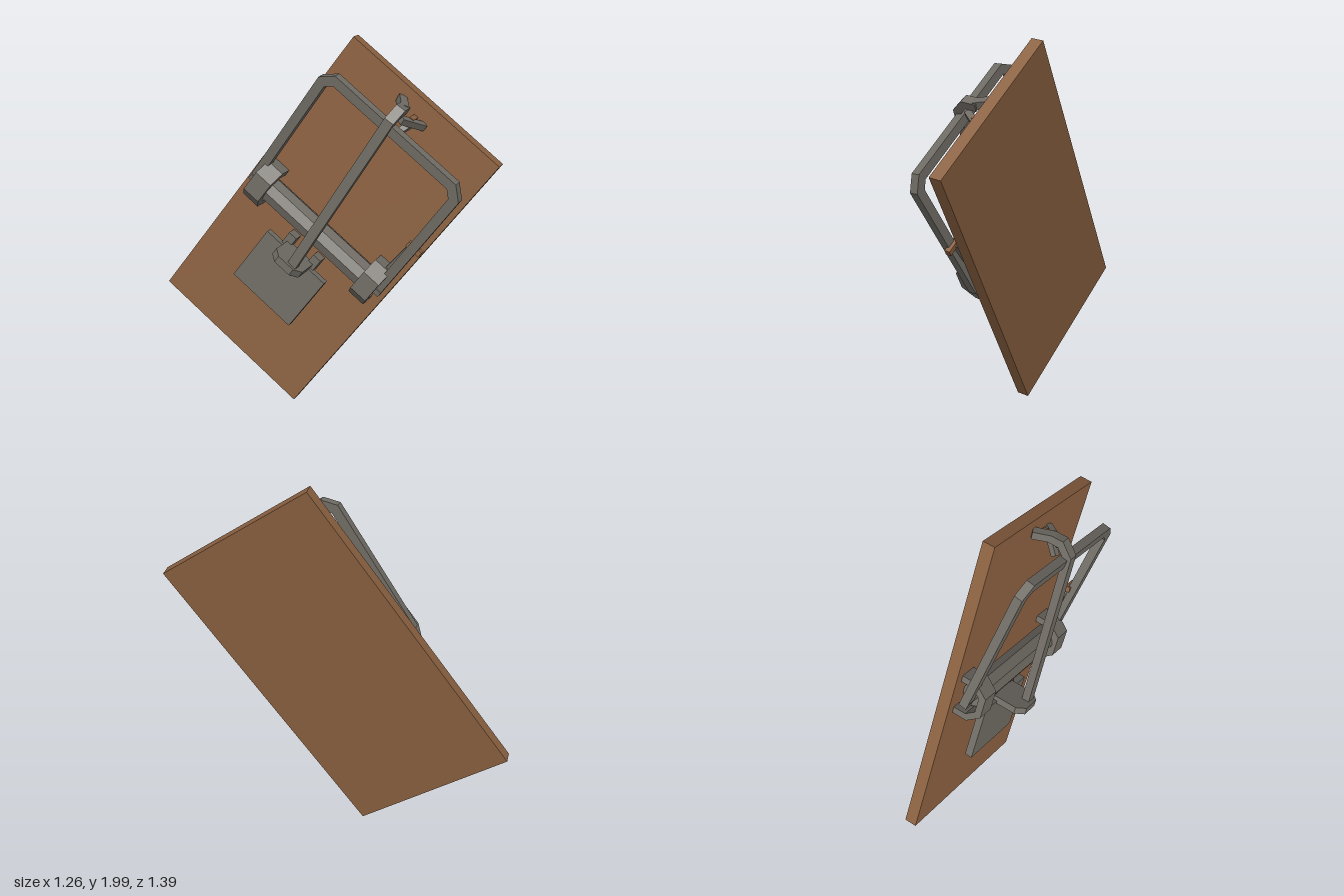
import * as THREE from 'three';

const wood = new THREE.MeshStandardMaterial({ color: 0x8a6040, flatShading: true });
wood.name = 'brown wood';
const metal = new THREE.MeshStandardMaterial({ color: 0x6e6a63, flatShading: true });
metal.name = 'grey metal';

// Outline of a mitred strip of the given thickness following an open 2D path
function stripShape(path, thickness) {
  const p = path.map(([x, y]) => new THREE.Vector2(x, y));
  const left = [], right = [];
  p.forEach((pt, i) => {
    const d0 = i > 0 ? pt.clone().sub(p[i - 1]).normalize() : null;
    const d1 = i < p.length - 1 ? p[i + 1].clone().sub(pt).normalize() : null;
    const t = (d0 && d1) ? d0.clone().add(d1).normalize() : (d0 || d1).clone();
    const n = new THREE.Vector2(-t.y, t.x);
    const cos = t.dot(d0 || d1);
    n.multiplyScalar(thickness / 2 / cos);
    left.push(pt.clone().add(n));
    right.push(pt.clone().sub(n));
  });
  return new THREE.Shape([...right, ...left.reverse()]);
}

// Flat extrusion centred on its own plane
function slab(shape, depth) {
  const g = new THREE.ExtrudeGeometry(shape, { depth, bevelEnabled: false });
  return g.translate(0, 0, -depth / 2);
}

// Maps a profile drawn as (length, height) into the board frame
const sideOn = new THREE.Matrix4().makeBasis(
  new THREE.Vector3(0, 1, 0), new THREE.Vector3(0, 0, 1), new THREE.Vector3(1, 0, 0));

function add(parent, name, geometry, material, x = 0, y = 0, z = 0) {
  const m = new THREE.Mesh(geometry, material);
  m.name = name;
  m.position.set(x, y, z);
  parent.add(m);
  return m;
}

// Square rod between two points
function rod(parent, name, from, to, size, material) {
  const a = new THREE.Vector3(...from), b = new THREE.Vector3(...to);
  const m = add(parent, name, new THREE.BoxGeometry(size, size, a.distanceTo(b)), material);
  m.position.copy(a).add(b).multiplyScalar(0.5);
  m.quaternion.setFromUnitVectors(new THREE.Vector3(0, 0, 1), b.sub(a).normalize());
  return m;
}

export function createModel() {
  const model = new THREE.Group();
  model.name = 'springTrap';

  // Working frame: x across the board, y along it, z out of its face
  const trap = new THREE.Group();
  trap.name = 'trap';
  const along = new THREE.Vector3(0.4335, 0.816, 0.383).normalize();
  const out = new THREE.Vector3(-0.77, 0.115, 0.627);
  const across = new THREE.Vector3().crossVectors(along, out).normalize();
  out.crossVectors(across, along);
  trap.quaternion.setFromRotationMatrix(new THREE.Matrix4().makeBasis(across, along, out));
  trap.position.set(-0.025, 1.005, 0);
  model.add(trap);

  add(trap, 'board', new THREE.BoxGeometry(0.946, 1.776, 0.065), wood, 0, 0, -0.0325);

  // Spring drum and axle
  const drum = new THREE.CylinderGeometry(0.068, 0.068, 0.72, 8).rotateZ(Math.PI / 2);
  add(trap, 'springDrum', drum, metal, 0, 0, 0.062);
  const axle = new THREE.CylinderGeometry(0.025, 0.025, 0.9, 6).rotateZ(Math.PI / 2);
  add(trap, 'axle', axle, metal, 0, 0, 0.06);

  // Arched brackets over the axle ends
  const arch = [[-0.1, 0], [-0.1, 0.075], [-0.05, 0.132], [0.05, 0.132], [0.1, 0.075], [0.1, 0]];
  for (const s of [-1, 1]) {
    add(trap, 'axleBracket', slab(stripShape(arch, 0.036), 0.1).applyMatrix4(sideOn), metal, s * 0.37);
  }

  // Striking hoop, rising away from the axle
  const hoopPath = [[0.425, -0.03], [0.425, 0.69], [0.375, 0.74],
    [-0.375, 0.74], [-0.425, 0.69], [-0.425, -0.03]];
  const hoop = add(trap, 'strikingHoop', slab(stripShape(hoopPath, 0.05), 0.045), metal, 0, 0, 0.06);
  hoop.rotation.x = 0.155;

  // Spring end hooked around one arm of the hoop
  rod(trap, 'springLeg', [0.39, 0.02, 0.04], [0.41, 0.31, 0.075], 0.03, metal);
  add(trap, 'springTip', new THREE.BoxGeometry(0.085, 0.03, 0.03), wood, 0.43, 0.31, 0.085);

  // Holding bar with a bent end
  const barPath = [[-0.21, 0.195], [0.765, 0.195], [0.82, 0.145], [0.82, 0.075]];
  const bar = add(trap, 'holdingBar', slab(stripShape(barPath, 0.042), 0.052).applyMatrix4(sideOn), metal, 0.015);
  bar.rotation.z = 0.08;
  rod(trap, 'holdingBarFoot', [-0.045, 0.82, 0.1], [-0.1, 0.815, 0], 0.042, metal);

  // Staple that anchors the holding bar
  rod(trap, 'stapleLeg', [0.07, 0.785, 0], [-0.02, 0.78, 0.125], 0.034, metal);
  rod(trap, 'stapleProng', [0.02, 0.765, 0.05], [0, 0.7, 0.11], 0.03, metal);
  add(trap, 'staplePin', new THREE.BoxGeometry(0.025, 0.025, 0.07), wood, 0.01, 0.79, 0.04);

  // Bait pedal with its hinge
  add(trap, 'baitPedal', new THREE.BoxGeometry(0.4, 0.33, 0.04), metal, 0, -0.35, 0.062);
  for (const s of [-1, 1]) {
    add(trap, 'pedalHinge', new THREE.BoxGeometry(0.05, 0.08, 0.06), metal, s * 0.085, -0.155, 0.03);
  }

  // Upright catch that takes the end of the holding bar
  const catchShape = new THREE.Shape([[-0.09, 0.04], [0.09, 0.04], [0.09, 0.19], [0.05, 0.235],
    [-0.05, 0.235], [-0.09, 0.19]].map(([x, y]) => new THREE.Vector2(x, y)));
  add(trap, 'catchPlate', slab(catchShape, 0.04).rotateX(Math.PI / 2), metal, 0, -0.18, 0);

  return model;
}
